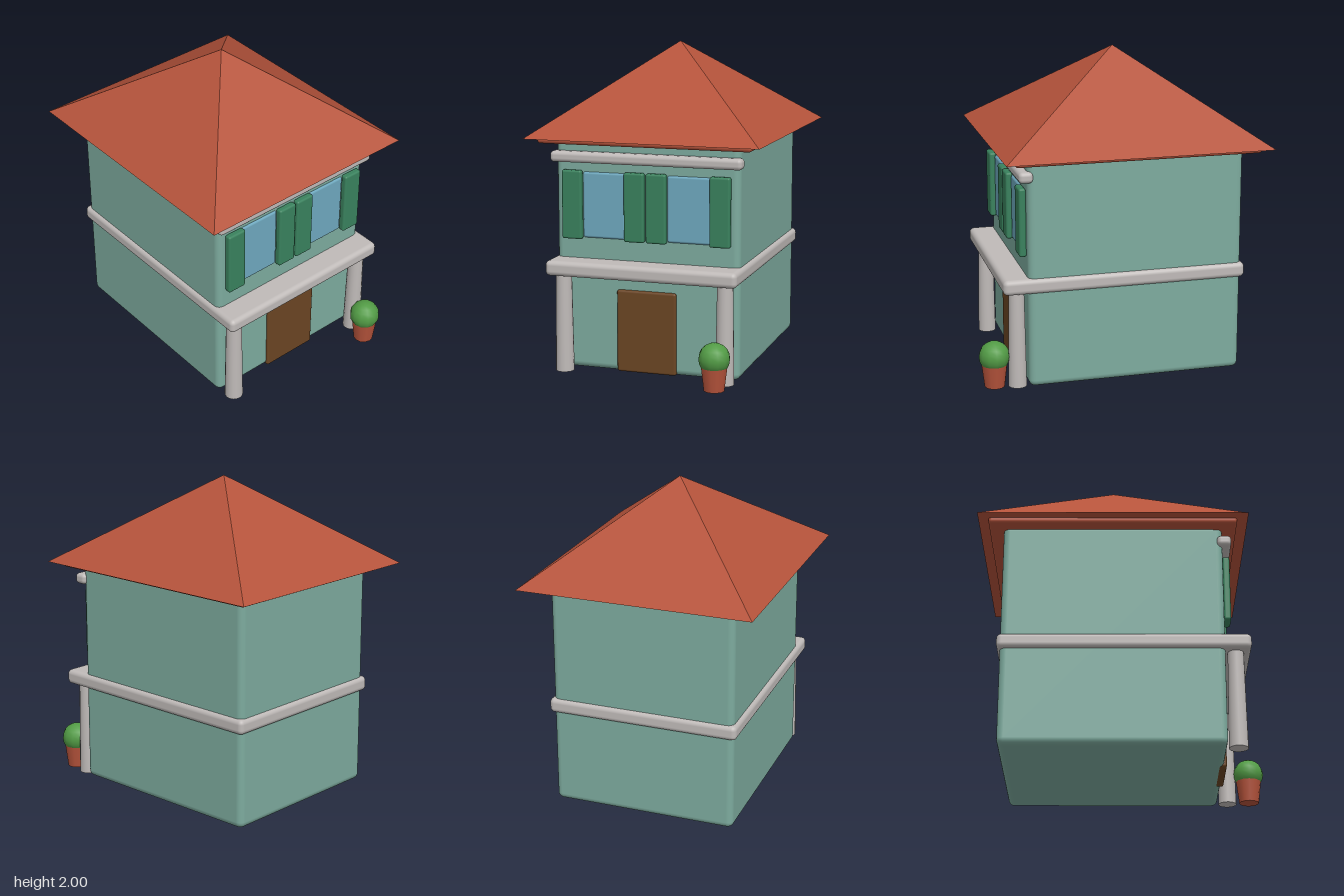
import * as THREE from 'three';
import { RoundedBoxGeometry } from 'three/addons/geometries/RoundedBoxGeometry.js';

const material = (name, color) => {
  const m = new THREE.MeshStandardMaterial({ color });
  m.name = name;
  return m;
};

export function createModel() {
  const house = new THREE.Group();
  house.name = 'house';

  const wall = material('sage wall', 0x7dab9e);
  const terracotta = material('terracotta', 0xb5533b);
  const stone = material('pale stone', 0xbfbab8);
  const glass = material('window blue', 0x6ea8be);
  const green = material('shutter green', 0x39815d);
  const wood = material('door brown', 0x6b4523);
  const leaf = material('leaf green', 0x529b45);

  const add = (name, geometry, mat, x = 0, y = 0, z = 0) => {
    const mesh = new THREE.Mesh(geometry, mat);
    mesh.name = name;
    mesh.position.set(x, y, z);
    house.add(mesh);
    return mesh;
  };

  // Rounded block given by its extents on each axis
  const block = (name, mat, [x0, x1], [y0, y1], [z0, z1], radius) =>
    add(name, new RoundedBoxGeometry(x1 - x0, y1 - y0, z1 - z0, 3, radius), mat,
      (x0 + x1) / 2, (y0 + y1) / 2, (z0 + z1) / 2);

  // Walls and stone bands
  block('walls', wall, [-0.585, 0.585], [0.003, 1.44], [-0.745, 0.603], 0.04);
  block('floorBand', stone, [-0.607, 0.607], [0.608, 0.702], [-0.765, 0.76], 0.03);
  block('upperTrim', stone, [-0.607, 0.607], [1.297, 1.365], [0.57, 0.657], 0.025);

  // Roof: eave slab and four-sided pyramid
  block('eaveSlab', terracotta, [-0.675, 0.675], [1.412, 1.475], [-0.835, 0.692], 0.02);
  const roof = new THREE.ConeGeometry(Math.SQRT1_2, 1, 4, 1).toNonIndexed();
  roof.rotateY(Math.PI / 4);
  roof.scale(1.48, 0.556, 1.655);
  roof.computeVertexNormals();
  add('roof', roof, terracotta, 0, 1.722, -0.07);

  // Door
  block('door', wood, [-0.19, 0.19], [0.005, 0.52], [0.56, 0.62], 0.015);

  for (const side of [-1, 1]) {
    // Window with a shutter at each edge
    const cx = side * 0.27;
    block('window', glass, [cx - 0.137, cx + 0.137], [0.832, 1.24], [0.56, 0.615], 0.015);
    for (const edge of [-1, 1]) {
      const sx = cx + edge * 0.2;
      block('shutter', green, [sx - 0.064, sx + 0.064], [0.825, 1.25], [0.603, 0.647], 0.013);
    }
    // Tapered porch column
    add('column', new THREE.CylinderGeometry(0.048, 0.058, 0.64, 16), stone, side * 0.515, 0.32, 0.667);
  }

  // Potted shrub
  add('pot', new THREE.CylinderGeometry(0.081, 0.063, 0.15, 12), terracotta, 0.49, 0.075, 0.805);
  add('shrub', new THREE.SphereGeometry(0.096, 12, 10), leaf, 0.49, 0.194, 0.805);

  return house;
}
